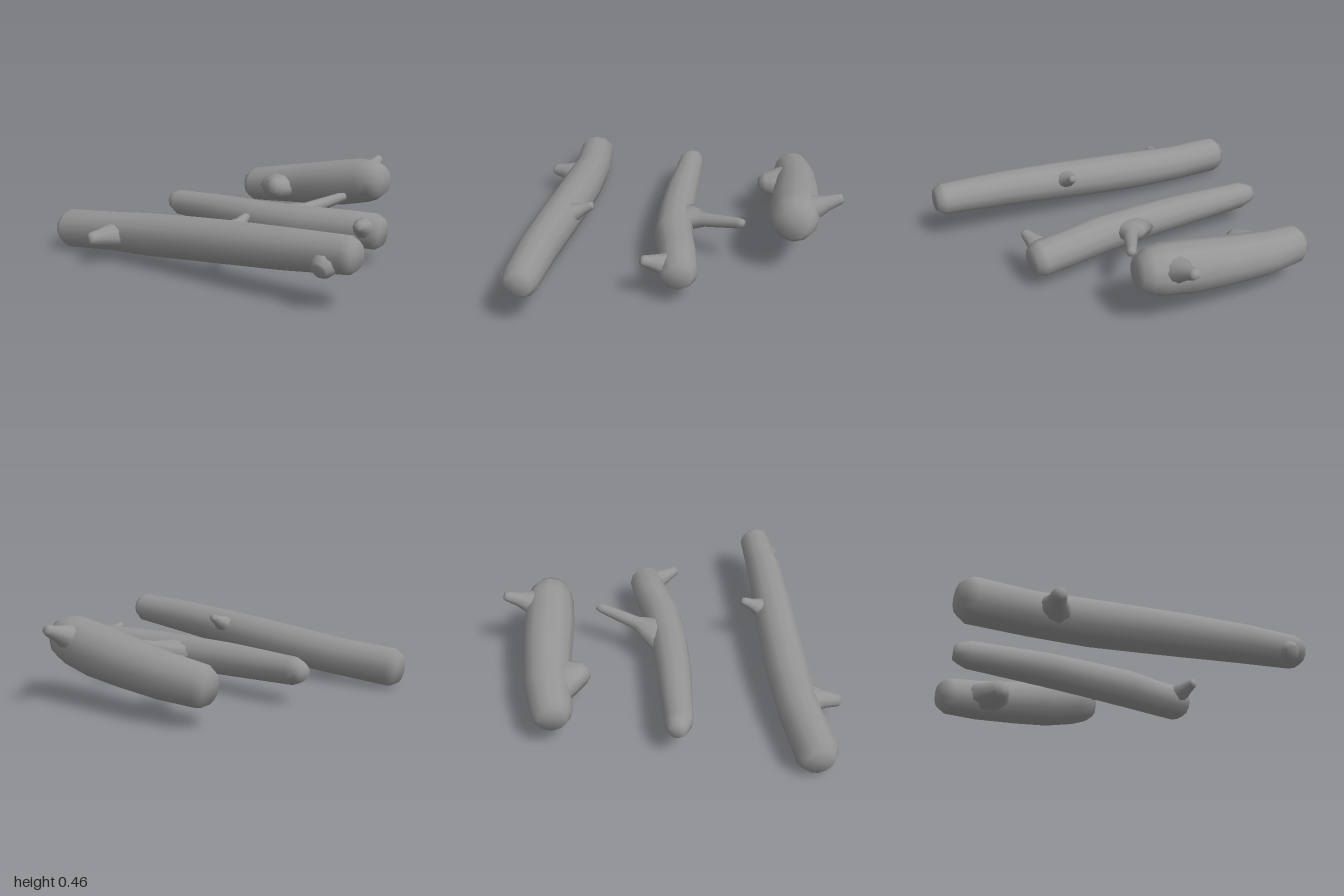
import * as THREE from 'three';

const material = new THREE.MeshStandardMaterial({ color: 0x959595 });
const UP = new THREE.Vector3(0, 1, 0);

// Smooth tube through rows of [x, y, z, radius, vertical radius if different], closed at both ends.
function sweep(name, rows, sides) {
  const centres = rows.map(([x, y, z]) => new THREE.Vector3(x, y, z));
  const last = rows.length - 1;
  const positions = [];
  const index = [];
  rows.forEach(([, , , wide, high = wide], i) => {
    const t = centres[Math.min(i + 1, last)].clone().sub(centres[Math.max(i - 1, 0)]).normalize();
    const a = new THREE.Vector3().crossVectors(UP, t).normalize();
    const b = new THREE.Vector3().crossVectors(t, a);
    for (let j = 0; j < sides; j++) {
      const angle = (j / sides) * Math.PI * 2;
      const p = centres[i].clone()
        .addScaledVector(a, Math.cos(angle) * wide)
        .addScaledVector(b, Math.sin(angle) * high);
      positions.push(p.x, p.y, p.z);
    }
  });
  for (let i = 0; i < last; i++) {
    for (let j = 0; j < sides; j++) {
      const k = (j + 1) % sides;
      const p = i * sides, q = p + sides;
      index.push(p + j, p + k, q + j, p + k, q + k, q + j);
    }
  }
  // End discs
  const start = positions.length / 3;
  positions.push(...centres[0].toArray(), ...centres[last].toArray());
  for (let j = 0; j < sides; j++) {
    const k = (j + 1) % sides;
    index.push(start, k, j, start + 1, last * sides + j, last * sides + k);
  }
  const geometry = new THREE.BufferGeometry();
  geometry.setAttribute('position', new THREE.Float32BufferAttribute(positions, 3));
  geometry.setIndex(index);
  geometry.computeVertexNormals();
  const mesh = new THREE.Mesh(geometry, material);
  mesh.name = name;
  return mesh;
}

// Extra smaller ring past an end, giving it a worn, rounded rim.
function rim(end, inner) {
  const e = new THREE.Vector3(...end);
  const d = e.clone().sub(new THREE.Vector3(...inner)).normalize();
  e.addScaledVector(d, end[3] * 0.45);
  return [e.x, e.y, e.z, end[3] * 0.72];
}

function trunk(rows) {
  const n = rows.length;
  return sweep('trunk', [rim(rows[0], rows[1]), ...rows, rim(rows[n - 1], rows[n - 2])], 12);
}

// Broken branch: an oval root buried in the trunk, narrowing to a neck and a blunt tip.
function branch(name, from, to, { wide, high, tip, neckAt }) {
  const a = new THREE.Vector3(...from);
  const b = new THREE.Vector3(...to);
  const neck = tip * 1.35;
  const at = (s, w, h) => [...a.clone().lerp(b, s).toArray(), w, h];
  const { lerp } = THREE.MathUtils;
  return sweep(name, [
    at(0, wide, high),
    at(neckAt * 0.65, lerp(neck, wide, 0.38), lerp(neck, high, 0.38)),
    at(neckAt, neck, neck),
    at(0.93, tip, tip),
    at(1, tip * 0.75, tip * 0.75),
  ], 10);
}

function log(name, rows, branches) {
  const group = new THREE.Group();
  group.name = name;
  group.add(trunk(rows), ...branches);
  return group;
}

export function createModel() {
  const model = new THREE.Group();
  model.name = 'driftwoodLogs';

  model.add(log('longLog', [
    [-0.722, 0.113, -0.943, 0.112],
    [-0.68, 0.136, -0.62, 0.112],
    [-0.667, 0.162, -0.3, 0.12],
    [-0.664, 0.19, 0, 0.118],
    [-0.664, 0.212, 0.25, 0.115],
    [-0.664, 0.24, 0.6, 0.107],
    [-0.647, 0.267, 0.95, 0.094],
  ], [
    branch('rightStub', [-0.68, 0.138, -0.52], [-0.915, 0.145, -0.567],
      { wide: 0.13, high: 0.09, tip: 0.036, neckAt: 0.68 }),
    branch('leftStub', [-0.66, 0.21, 0.185], [-0.465, 0.305, 0.185],
      { wide: 0.12, high: 0.08, tip: 0.024, neckAt: 0.7 }),
    branch('frontKnot', [-0.65, 0.25, 0.86], [-0.768, 0.198, 0.865],
      { wide: 0.09, high: 0.07, tip: 0.044, neckAt: 0.75 }),
  ]));

  model.add(log('middleLog', [
    [-0.025, 0.184, -0.795, 0.057],
    [-0.035, 0.18, -0.74, 0.078],
    [-0.035, 0.178, -0.3, 0.096],
    [-0.025, 0.174, -0.05, 0.102],
    [0.002, 0.174, 0.23, 0.108],
    [0.06, 0.18, 0.45, 0.103],
    [0.089, 0.18, 0.622, 0.102],
  ], [
    branch('longBranch', [-0.01, 0.178, 0.02], [0.39, 0.272, 0.212],
      { wide: 0.15, high: 0.08, tip: 0.03, neckAt: 0.42 }),
    branch('frontStub', [0.07, 0.19, 0.575], [-0.105, 0.248, 0.638],
      { wide: 0.08, high: 0.075, tip: 0.029, neckAt: 0.7 }),
  ]));

  model.add(log('shortLog', [
    [0.617, 0.207, -0.67, 0.11],
    [0.65, 0.228, -0.47, 0.122],
    [0.66, 0.262, -0.2, 0.135],
    [0.662, 0.29, 0, 0.143],
    [0.665, 0.325, 0.18, 0.137],
    [0.662, 0.335, 0.255, 0.12],
  ], [
    branch('leftStub', [0.67, 0.325, 0.14], [0.917, 0.425, 0.12],
      { wide: 0.12, high: 0.1, tip: 0.031, neckAt: 0.68 }),
    branch('rightKnot', [0.65, 0.222, -0.44], [0.43, 0.24, -0.375],
      { wide: 0.21, high: 0.105, tip: 0.045, neckAt: 0.88 }),
  ]));

  return model;
}
